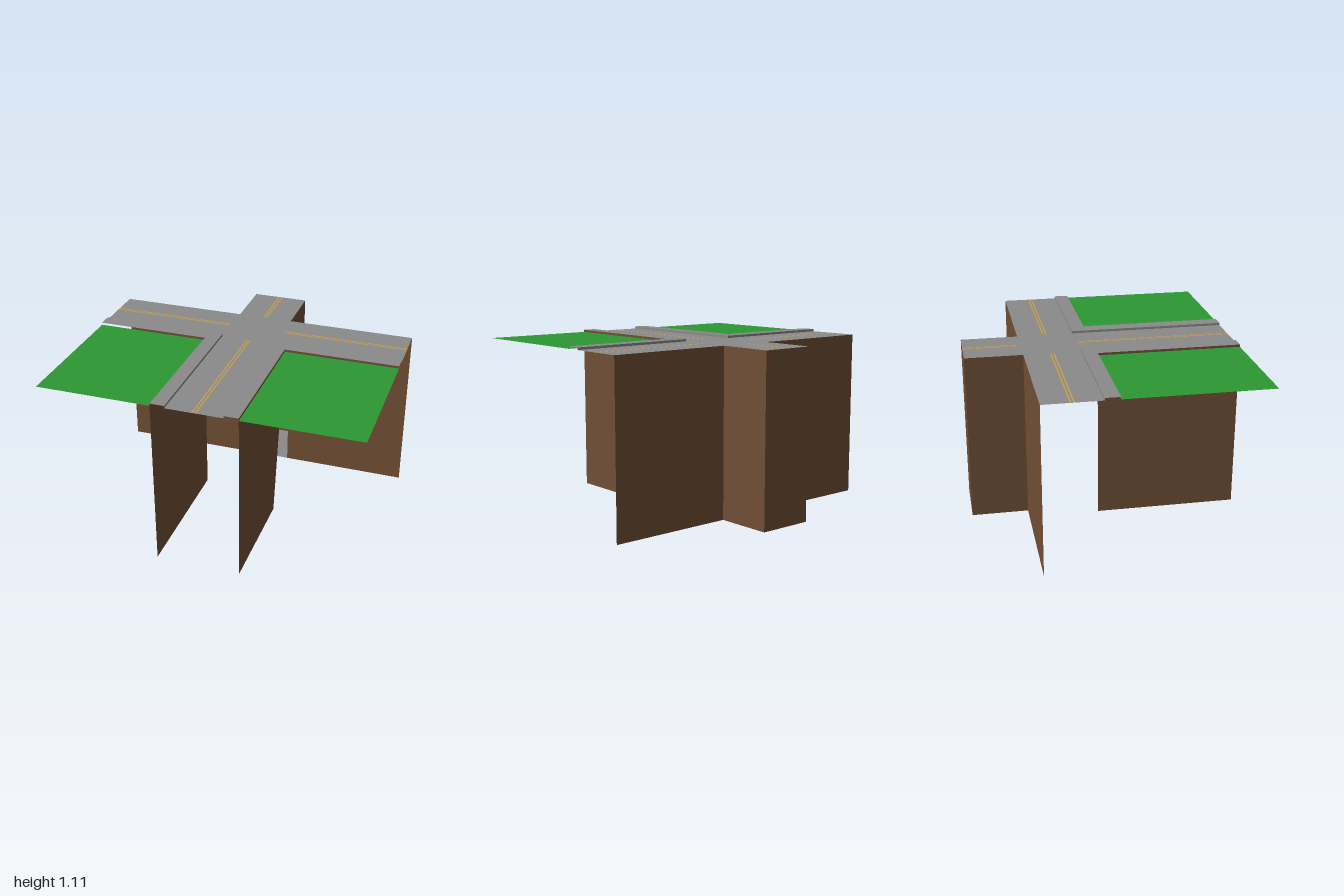
import * as THREE from 'three';

const ROAD_Y = 1.09, WALK_Y = 1.105;
const ROAD_X = 0.18, WALK_X = 0.27;                 // half widths of the road and of road plus pavement
const BACK = -0.865, CROSS_BACK = -0.5, CROSS_FRONT = -0.14, WALK_FRONT = -0.047, FRONT = 0.865;

function material(name, color) {
  const m = new THREE.MeshStandardMaterial({ color, side: THREE.DoubleSide });
  m.name = name;
  return m;
}

export function createModel() {
  const group = new THREE.Group();
  const asphalt = material('asphalt grey', 0x8a8a8a);
  const earth = material('earth brown', 0x704e35);
  const grass = material('grass green', 0x2c9833);
  const paint = material('line yellow', 0xd0a03c);

  function add(name, geometry, mat) {
    const mesh = new THREE.Mesh(geometry, mat);
    mesh.name = name;
    group.add(mesh);
  }

  // Horizontal sheet from [x, z] outline points
  function sheet(name, points, y, mat) {
    const shape = new THREE.Shape(points.map(([x, z]) => new THREE.Vector2(x, -z)));
    add(name, new THREE.ShapeGeometry(shape).rotateX(-Math.PI / 2).translate(0, y, 0), mat);
  }
  const rect = (x0, x1, z0, z1) => [[x0, z0], [x1, z0], [x1, z1], [x0, z1]];

  // Flat four-cornered sheet
  function quad(name, corners, mat) {
    const g = new THREE.BufferGeometry();
    g.setAttribute('position', new THREE.Float32BufferAttribute(corners.flat(), 3));
    g.setIndex([0, 1, 2, 0, 2, 3]);
    g.computeVertexNormals();
    add(name, g, mat);
  }
  // Upright sheet between two [x, z] points
  function upright(name, [xa, za], [xb, zb], y0, y1, mat) {
    quad(name, [[xa, y0, za], [xb, y0, zb], [xb, y1, zb], [xa, y1, za]], mat);
  }

  // Crossing road surface
  sheet('road', [
    [-ROAD_X, BACK], [ROAD_X, BACK], [ROAD_X, CROSS_BACK], [1, CROSS_BACK],
    [1, CROSS_FRONT], [ROAD_X, CROSS_FRONT], [ROAD_X, FRONT], [-ROAD_X, FRONT],
    [-ROAD_X, CROSS_FRONT], [-1, CROSS_FRONT], [-1, CROSS_BACK], [-ROAD_X, CROSS_BACK],
  ], ROAD_Y, asphalt);

  // Back stub: end wall and floor
  upright('stubEndWall', [ROAD_X, BACK], [-ROAD_X, BACK], 0, ROAD_Y, earth);
  sheet('stubFloor', rect(-ROAD_X, ROAD_X, BACK, CROSS_BACK), 0, asphalt);

  for (const s of [-1, 1]) {
    const side = s > 0 ? 'left' : 'right';

    // Raised L-shaped pavement with its kerb faces
    sheet(side + 'Pavement', [
      [s * ROAD_X, CROSS_FRONT], [s, CROSS_FRONT], [s, WALK_FRONT],
      [s * WALK_X, WALK_FRONT], [s * WALK_X, FRONT], [s * ROAD_X, FRONT],
    ], WALK_Y, asphalt);
    upright(side + 'CrossKerb', [s * ROAD_X, CROSS_FRONT], [s, CROSS_FRONT], ROAD_Y, WALK_Y, asphalt);
    upright(side + 'FrontKerb', [s * ROAD_X, CROSS_FRONT], [s * ROAD_X, FRONT], ROAD_Y, WALK_Y, asphalt);

    // Lawn, a little lower than the pavement
    const lawn = rect(s * WALK_X, s, WALK_FRONT, FRONT);
    sheet(side + 'Lawn', lawn, ROAD_Y, grass);

    // Earth walls; the one on +x slopes in at its foot
    upright(side + 'BackWall', [s, CROSS_BACK], [s * ROAD_X, CROSS_BACK], 0, ROAD_Y, earth);
    upright(side + 'StubWall', [s * ROAD_X, CROSS_BACK], [s * ROAD_X, BACK], 0, ROAD_Y, earth);
    const foot = s > 0 ? 0.14 : WALK_FRONT, x = s * WALK_X;
    quad(side + 'FrontWall',
      [[x, 0, FRONT], [x, 0, foot], [x, WALK_Y, WALK_FRONT], [x, WALK_Y, FRONT]], earth);

    // One line of each double centre line
    const c = s * 0.01, w = 0.004, y = ROAD_Y + 0.001, mid = (CROSS_BACK + CROSS_FRONT) / 2;
    sheet('backLine', rect(c - w, c + w, BACK, CROSS_BACK - 0.01), y, paint);
    sheet('frontLine', rect(c - w, c + w, CROSS_FRONT + 0.01, FRONT), y, paint);
    for (const d of [-1, 1]) {
      sheet('crossLine', rect(d * (ROAD_X + 0.01), d, mid + c - w, mid + c + w), y, paint);
    }
  }
  return group;
}
